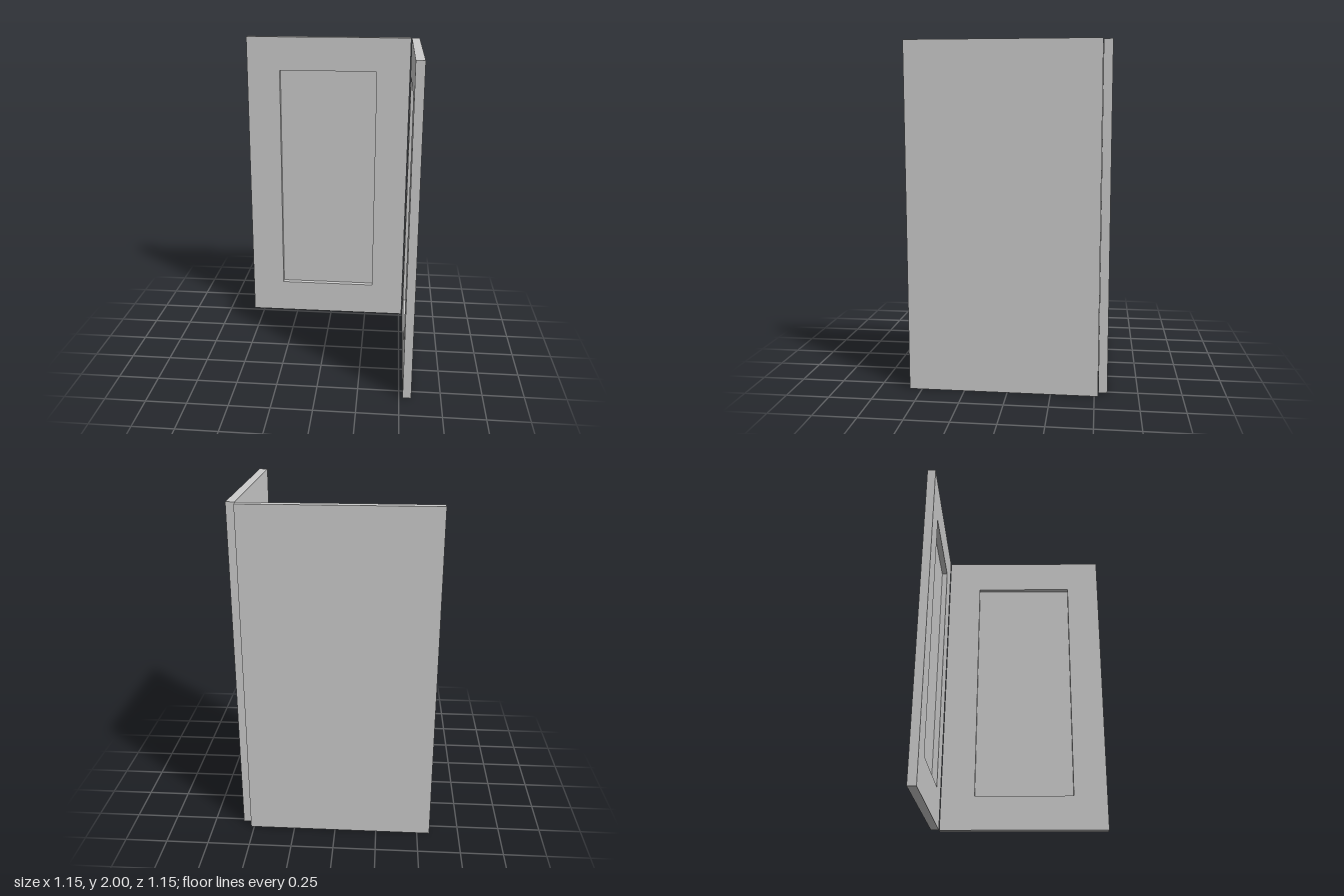
import * as THREE from 'three';

const WIDTH = 1.094, HEIGHT = 2, THICK = 0.051, RECESS = 0.035;
const HOLE_HALF = 0.326, HOLE_LOW = 0.224, HOLE_HIGH = 1.778;

// Upright panel with a rectangular recess in its +z face
function createPanel(name, material) {
  const panel = new THREE.Group();
  panel.name = name;

  const w = WIDTH / 2;
  const outline = new THREE.Shape([
    new THREE.Vector2(-w, 0), new THREE.Vector2(w, 0),
    new THREE.Vector2(w, HEIGHT), new THREE.Vector2(-w, HEIGHT),
  ]);
  outline.holes.push(new THREE.Path([
    new THREE.Vector2(-HOLE_HALF, HOLE_LOW), new THREE.Vector2(-HOLE_HALF, HOLE_HIGH),
    new THREE.Vector2(HOLE_HALF, HOLE_HIGH), new THREE.Vector2(HOLE_HALF, HOLE_LOW),
  ]));

  // Frame around the recess
  const frame = new THREE.Mesh(
    new THREE.ExtrudeGeometry(outline, { depth: RECESS, bevelEnabled: false }), material);
  frame.name = 'frame';
  frame.position.z = THICK / 2 - RECESS;

  // Solid backing that closes the recess
  const backDepth = THICK - RECESS;
  const backing = new THREE.Mesh(new THREE.BoxGeometry(WIDTH, HEIGHT, backDepth), material);
  backing.name = 'backing';
  backing.position.set(0, HEIGHT / 2, -THICK / 2 + backDepth / 2);

  panel.add(frame, backing);
  return panel;
}

export function createModel() {
  const model = new THREE.Group();
  model.name = 'foldingPanels';
  const grey = new THREE.MeshStandardMaterial({ color: 0xcccccc });
  grey.name = 'light grey';

  // Two equal panels at a right angle, recesses facing inwards
  const backPanel = createPanel('backPanel', grey);
  backPanel.position.set(-0.028, 0, -0.549);

  const sidePanel = createPanel('sidePanel', grey);
  sidePanel.rotation.y = -Math.PI / 2;
  sidePanel.position.set(0.548, 0, 0.026);

  model.add(backPanel, sidePanel);
  return model;
}
